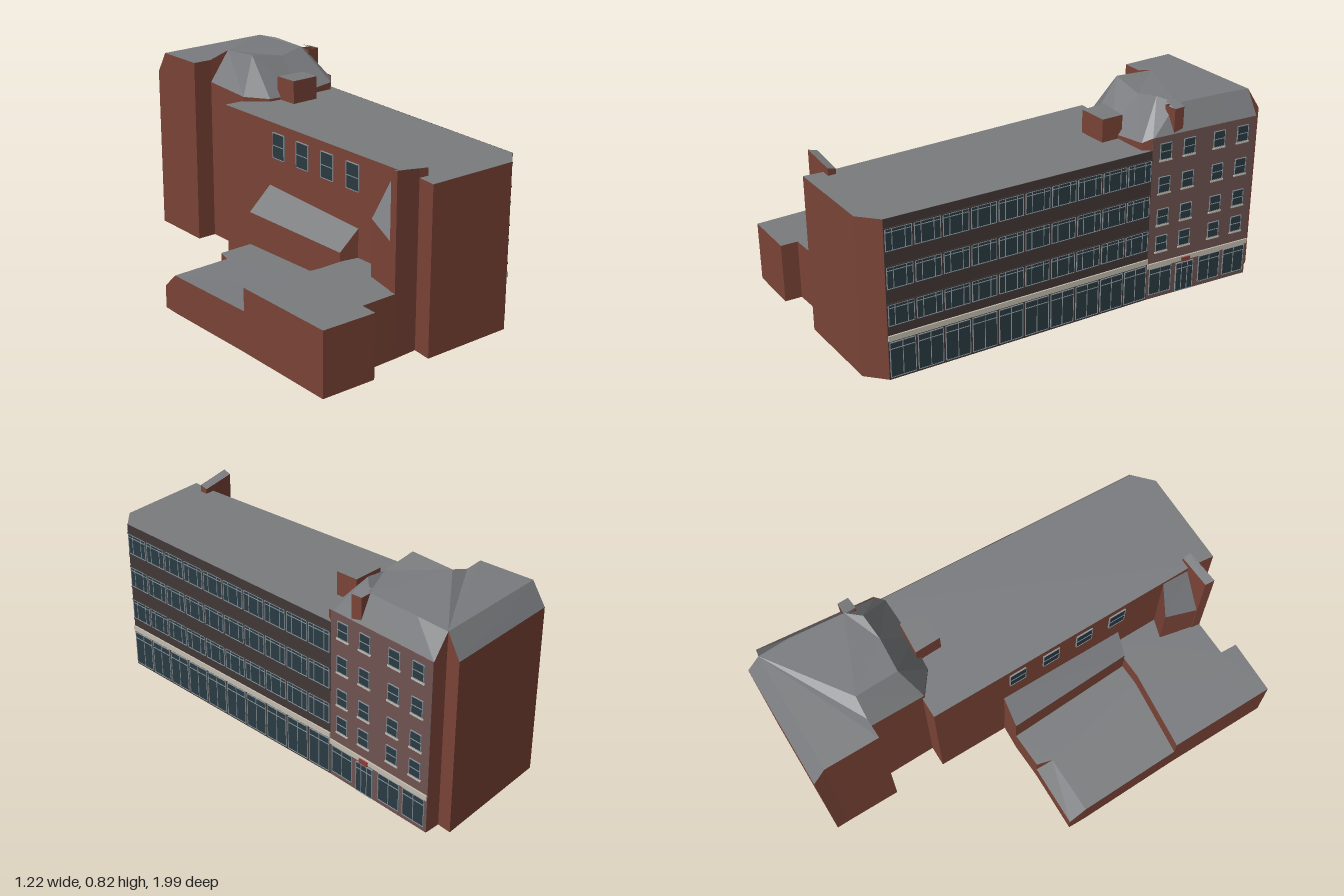
import * as THREE from 'three';

const mat = (color) => new THREE.MeshStandardMaterial({ color, side: THREE.DoubleSide, flatShading: true });
const BRICK = mat(0x7b4437), ROOF = mat(0x797b7e), PALE = mat(0x6e5350), GLASS = mat(0x2a3a42),
  DARK = mat(0x413736), FRAME = mat(0x87939a), CREAM = mat(0xc4bcae), RED = mat(0x8c3a3a);

function addMesh(parent, name, geo, material) {
  const m = new THREE.Mesh(geo, material);
  m.name = name;
  parent.add(m);
  return m;
}

function surface(parent, name, verts, index, material) {
  const g = new THREE.BufferGeometry();
  g.setAttribute('position', new THREE.Float32BufferAttribute(verts.flat(), 3));
  g.setIndex(index);
  const flat = g.toNonIndexed();
  flat.computeVertexNormals();
  return addMesh(parent, name, flat, material);
}

// Polygon of [x, y, z] corners, triangulated in plan and facing up
function roof(parent, name, pts) {
  const flat = pts.map(([x, , z]) => new THREE.Vector2(x, -z));
  const tris = THREE.ShapeUtils.triangulateShape(flat, []);
  const up = ([a, b, c]) => (flat[b].clone().sub(flat[a]).cross(flat[c].clone().sub(flat[a])) > 0 ? [a, b, c] : [a, c, b]);
  return surface(parent, name, pts, tris.flatMap(up), ROOF);
}

// Ribbon of vertical walls; each station is [x, z, top, base]
function walls(parent, name, stations, material = BRICK) {
  const verts = [], index = [];
  stations.forEach(([x, z, top, base = 0], i) => {
    verts.push([x, base, z], [x, top, z]);
    if (i) {
      const a = 2 * i - 2;
      index.push(a, a + 2, a + 3, a, a + 3, a + 1);
    }
  });
  return surface(parent, name, verts, index, material);
}

// Group whose local x runs along a wall and whose local z points outward
function facade(parent, name, [x0, z0], [x1, z1]) {
  const g = new THREE.Group();
  g.name = name;
  g.position.set(x0, 0, z0);
  g.rotation.y = Math.atan2(z0 - z1, x1 - x0);
  parent.add(g);
  return { g, len: Math.hypot(x1 - x0, z1 - z0) };
}

// Thin box on a facade: centre u, from y0 to y1, standing d proud of the wall
function panel(g, name, u, y0, y1, w, d, material) {
  const m = addMesh(g, name, new THREE.BoxGeometry(w, y1 - y0, d), material);
  m.position.set(u, (y0 + y1) / 2, d / 2);
}

function windowUnit(g, u, y0, y1, w, d, mullions, transom) {
  panel(g, 'windowGlass', u, y0, y1, w, d, GLASS);
  const t = 0.0025, e = d + 0.002;
  for (const f of [-0.5, ...mullions, 0.5]) panel(g, 'windowMullion', u + f * w, y0, y1, t, e, FRAME);
  for (const y of [y0, y0 + (y1 - y0) * transom, y1]) panel(g, 'windowRail', u, y - t / 2, y + t / 2, w, e, FRAME);
}

export function createModel() {
  const model = new THREE.Group();
  model.name = 'cornerBuilding';

  // Long main block
  const H = 0.65;
  walls(model, 'mainWalls', [[0.14, 0.59, H, 0.25], [0.19, 0.715, H, 0.25]]);
  walls(model, 'mainFrontWalls', [[0.19, 0.715, H], [0.215, 0.795, H], [0.565, 0.635, H], [0.605, 0.54, H], [0.21, -0.51, H]]);
  walls(model, 'mainWestWalls', [[-0.195, -0.38, H], [-0.275, -0.345, H], [-0.155, -0.07, H]]);
  walls(model, 'mainUpperWestWall', [[-0.155, -0.07, H, 0.39], [0.065, 0.42, H, 0.365]]);
  walls(model, 'mainLowerWestWall', [[0.065, 0.42, H, 0.25], [0.14, 0.59, H, 0.25]]);
  roof(model, 'mainRoof', [[-0.275, H, -0.345], [-0.155, H, -0.07], [0.19, H, 0.715], [0.215, H, 0.795],
    [0.565, H, 0.635], [0.605, H, 0.54], [0.21, H, -0.51], [-0.195, H, -0.38]]);

  // Two low wings beside it
  walls(model, 'frontWingWalls', [[0.095, 0.77, 0.25], [-0.04, 0.835, 0.25], [-0.015, 0.9, 0.25], [-0.22, 0.99, 0.25], [-0.4, 0.585, 0.25]]);
  walls(model, 'wingStep', [[-0.4, 0.585, 0.25, 0.16], [-0.09, 0.48, 0.25, 0.16], [-0.01, 0.44, 0.25, 0.16]]);
  roof(model, 'frontWingRoof', [[0.095, 0.25, 0.77], [-0.04, 0.25, 0.835], [-0.015, 0.25, 0.9], [-0.22, 0.25, 0.99],
    [-0.4, 0.25, 0.585], [-0.09, 0.25, 0.48], [-0.01, 0.25, 0.44], [0.065, 0.25, 0.42], [0.14, 0.25, 0.59], [0.19, 0.25, 0.715]]);
  walls(model, 'rearWingWalls', [[-0.4, 0.585, 0.16], [-0.583, 0.195, 0.155], [-0.61, 0.13, 0.09], [-0.375, 0.03, 0.09]]);
  walls(model, 'rearWingBackWall', [[-0.375, 0.03, 0.16], [-0.245, -0.035, 0.16]]);
  walls(model, 'rearWingCheek', [[-0.375, 0.03, 0.16, 0.09], [-0.365, 0.095, 0.16, 0.16]]);
  roof(model, 'rearWingRoof', [[-0.4, 0.16, 0.585], [-0.583, 0.155, 0.195], [-0.365, 0.16, 0.095], [-0.375, 0.16, 0.03],
    [-0.245, 0.16, -0.035], [-0.01, 0.16, 0.44], [-0.09, 0.16, 0.48]]);
  roof(model, 'rearWingSlope', [[-0.583, 0.155, 0.195], [-0.61, 0.09, 0.13], [-0.375, 0.09, 0.03], [-0.365, 0.16, 0.095]]);

  // Lean-to against the west wall
  walls(model, 'leanToWalls', [[0.065, 0.42, 0.365, 0.25], [-0.01, 0.44, 0.285, 0.16], [-0.245, -0.035, 0.295, 0.16]]);
  walls(model, 'leanToEnd', [[-0.245, -0.035, 0.295], [-0.155, -0.07, 0.39]]);
  roof(model, 'leanToRoof', [[-0.245, 0.295, -0.035], [-0.155, 0.39, -0.07], [0.065, 0.365, 0.42], [-0.01, 0.285, 0.44]]);

  // Stair tower slab with its own steep lean-to
  walls(model, 'towerFront', [[0.095, 0.77, 0.7], [0.19, 0.72, 0.685], [0.228, 0.705, 0.68, 0.64]]);
  walls(model, 'towerBack', [[0.095, 0.77, 0.7, 0.25], [0.085, 0.735, 0.69, 0.25], [0.215, 0.675, 0.67, 0.25], [0.228, 0.705, 0.68, 0.64]]);
  roof(model, 'towerRoof', [[0.095, 0.7, 0.77], [0.085, 0.69, 0.735], [0.215, 0.67, 0.675], [0.228, 0.68, 0.705]]);
  walls(model, 'towerLeanToWalls', [[0.095, 0.77, 0.42, 0.25], [0.06, 0.6, 0.47, 0.25], [0.14, 0.59, 0.62, 0.25]]);
  roof(model, 'towerLeanToRoof', [[0.06, 0.47, 0.6], [0.095, 0.42, 0.77], [0.19, 0.62, 0.715], [0.14, 0.62, 0.59]]);

  // Taller rear block
  walls(model, 'rearBlockWalls', [[-0.195, -0.37, 0.67], [-0.29, -0.58, 0.685], [-0.29, -0.58, 0.78], [-0.365, -0.545, 0.78],
    [-0.455, -0.75, 0.78], [-0.478, -0.8, 0.69], [-0.015, -1, 0.7], [0, -0.945, 0.79], [0.06, -0.965, 0.7], [0.21, -0.51, 0.7]]);
  walls(model, 'crownBaseWall', [[0.21, -0.51, 0.7, 0.6], [0.2, -0.47, 0.68, 0.6], [0.04, -0.39, 0.66, 0.6],
    [-0.09, -0.345, 0.66, 0.6], [-0.195, -0.37, 0.67, 0.6]]);

  // Flat top, back slope and mansard strips, matched point by point
  roof(model, 'rearBlockRoof', [[-0.455, 0.78, -0.75], [0, 0.79, -0.945], [0.05, 0.8, -0.83], [0.12, 0.8, -0.62], [0.09, 0.822, -0.55],
    [0, 0.8, -0.5], [-0.14, 0.822, -0.45], [-0.21, 0.81, -0.61], [-0.29, 0.78, -0.58], [-0.365, 0.78, -0.545]]);
  roof(model, 'backSlope', [[-0.478, 0.69, -0.8], [-0.015, 0.7, -1], [0, 0.79, -0.945], [-0.455, 0.78, -0.75]]);
  const low = [[0.06, 0.7, -0.965], [0.1, 0.7, -0.84], [0.18, 0.7, -0.6], [0.21, 0.69, -0.51], [0.2, 0.68, -0.47], [0.04, 0.66, -0.39],
    [-0.09, 0.66, -0.345], [-0.195, 0.67, -0.37], [-0.29, 0.685, -0.58]];
  const high = [[0, 0.79, -0.945], [0.05, 0.8, -0.83], [0.12, 0.8, -0.62], [0.12, 0.8, -0.62], [0.09, 0.822, -0.55], [0, 0.8, -0.5],
    [-0.14, 0.822, -0.45], [-0.14, 0.822, -0.45], [-0.21, 0.81, -0.61]];
  const strip = [];
  for (let i = 0; i < low.length - 1; i++) {
    const a = i, b = i + 1, n = low.length;
    strip.push(a, n + b, b, a, n + a, n + b);
  }
  surface(model, 'mansard', [...low, ...high], strip, ROOF);
  surface(model, 'mansardGable', [[-0.29, 0.685, -0.58], [-0.29, 0.78, -0.58], [-0.21, 0.81, -0.61]], [0, 1, 2], BRICK);

  // Roof housing and small brick dormer
  const housing = [[-0.05, -0.38], [0.07, -0.425], [0.105, -0.34], [-0.005, -0.285]];
  walls(model, 'roofHousing', [...housing, housing[0]].map(([x, z]) => [x, z, 0.745, 0.64]));
  roof(model, 'roofHousingTop', housing.map(([x, z]) => [x, 0.745, z]));
  const dormer = [[0.11, -0.62], [0.16, -0.64], [0.178, -0.6], [0.13, -0.575]];
  walls(model, 'dormer', [...dormer, dormer[0]].map(([x, z]) => [x, z, 0.8, 0.69]));
  roof(model, 'dormerRoof', dormer.map(([x, z], i) => [x, i === 0 || i === 3 ? 0.815 : 0.8, z]));

  // Long street front: glazed bays between dark bands
  const street = facade(model, 'streetFront', [0.605, 0.54], [0.21, -0.51]);
  panel(street.g, 'darkBands', street.len / 2, 0, H, street.len, 0.002, DARK);
  const bay = street.len / 10;
  for (let i = 0; i < 10; i++) {
    const u = (i + 0.5) * bay;
    for (const [y0, y1] of [[0.225, 0.31], [0.375, 0.46], [0.525, 0.61]]) windowUnit(street.g, u, y0, y1, bay * 0.9, 0.004, [-0.25, 0.25], 0.85);
    windowUnit(street.g, u, 0.01, 0.155, bay * 0.9, 0.004, [0], 0.82);
  }
  for (const y of [0.22, 0.312, 0.37, 0.462, 0.52, 0.612]) panel(street.g, 'sillBand', street.len / 2, y - 0.003, y + 0.003, street.len, 0.005, DARK);
  panel(street.g, 'fascia', street.len / 2, 0.163, 0.185, street.len, 0.008, CREAM);

  // Rear street front: separate sash windows over a shopfront
  const corner = facade(model, 'cornerFront', [0.21, -0.51], [0.06, -0.965]);
  panel(corner.g, 'paleBrick', corner.len / 2, 0, 0.7, corner.len, 0.002, PALE);
  for (const f of [0.125, 0.35, 0.64, 0.87]) {
    for (const y of [0.21, 0.327, 0.465, 0.605]) {
      windowUnit(corner.g, f * corner.len, y, y + 0.066, 0.05, 0.004, [], 0.5);
      panel(corner.g, 'sill', f * corner.len, y - 0.008, y - 0.002, 0.06, 0.007, CREAM);
    }
  }
  for (const [f, w] of [[0.13, 0.1], [0.62, 0.1], [0.87, 0.1]]) windowUnit(corner.g, f * corner.len, 0.02, 0.135, w, 0.004, [0], 0.8);
  windowUnit(corner.g, 0.37 * corner.len, 0.005, 0.13, 0.08, 0.006, [-0.17, 0.17], 0.8);
  panel(corner.g, 'fascia', corner.len / 2, 0.14, 0.16, corner.len, 0.008, CREAM);
  panel(corner.g, 'entranceSign', 0.37 * corner.len, 0.138, 0.155, 0.04, 0.014, RED);

  // Four tall windows above the lean-to
  const west = facade(model, 'westWindows', [-0.155, -0.07], [0.19, 0.715]);
  for (const x of [-0.13, -0.07, -0.01, 0.05]) windowUnit(west.g, ((x + 0.155) / 0.345) * west.len, 0.51, 0.612, 0.07, 0.004, [], 0.5);

  // Centre in plan
  const box = new THREE.Box3().setFromObject(model);
  const c = box.getCenter(new THREE.Vector3());
  model.children.forEach((m) => m.position.sub(new THREE.Vector3(c.x, 0, c.z)));
  return model;
}
